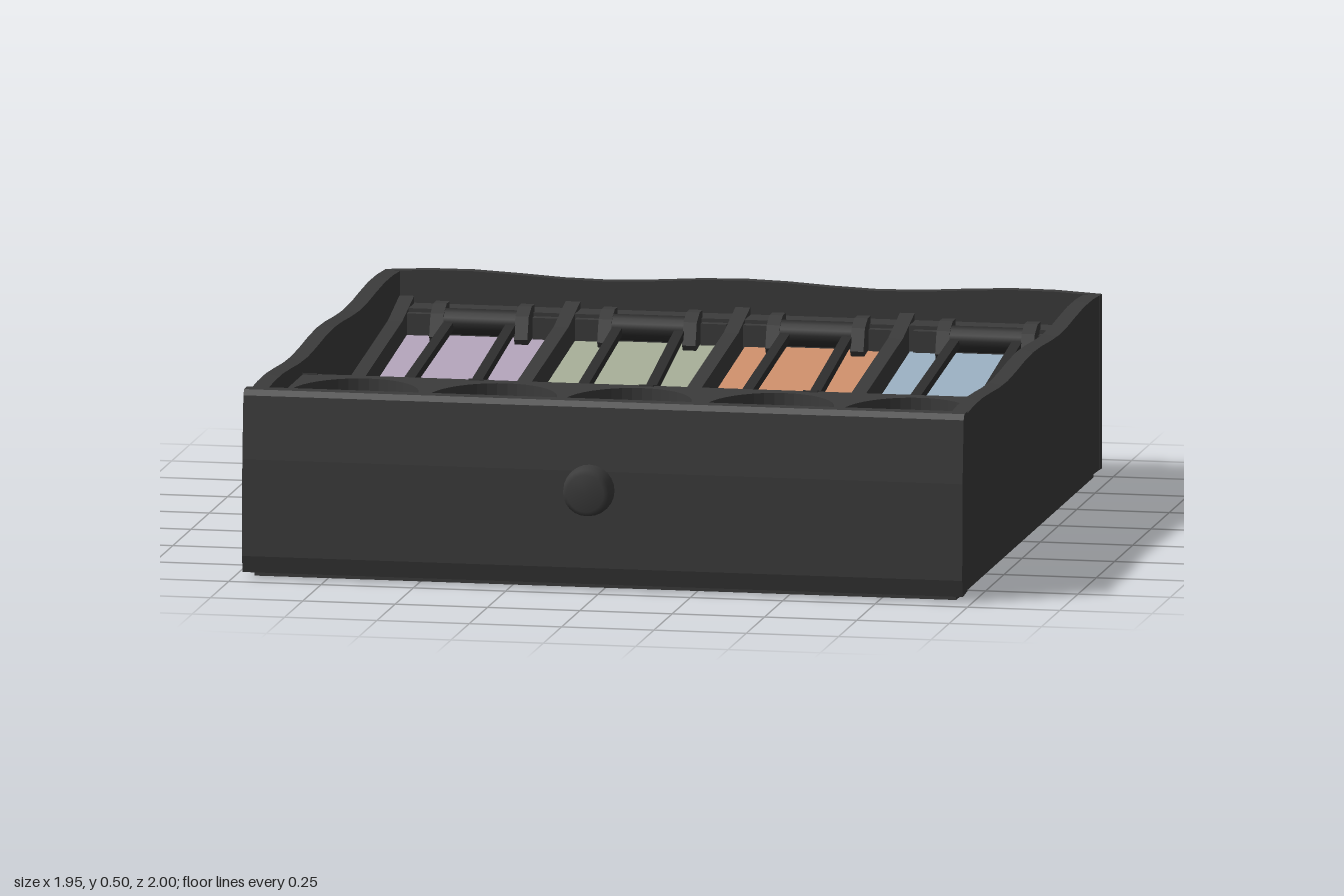
import * as THREE from 'three';

const mat = (name, color) => new THREE.MeshStandardMaterial({ name, color });

export function createModel() {
  const root = new THREE.Group();
  root.name = 'cashDrawer';
  const black = mat('charcoal plastic', 0x3b3b3b);
  const dark = mat('dark metal', 0x2e2e2e);
  const gold = mat('gold coin', 0xb08f55);
  const notes = [
    mat('lilac paper', 0xb3a4bb), mat('sage paper', 0xa6ae97),
    mat('orange paper', 0xcf906c), mat('blue paper', 0x9bb0c2),
  ];

  const add = (name, geo, material, x = 0, y = 0, z = 0, parent = root) => {
    const m = new THREE.Mesh(geo, material);
    m.name = name;
    m.position.set(x, y, z);
    parent.add(m);
    return m;
  };
  const box = (name, x0, x1, y0, y1, z0, z1, material = black) =>
    add(name, new THREE.BoxGeometry(x1 - x0, y1 - y0, z1 - z0), material,
      (x0 + x1) / 2, (y0 + y1) / 2, (z0 + z1) / 2);

  // Side profile given as [z, y] points, extruded along x
  const profileX = (name, pts, x0, x1, material) => {
    const shape = new THREE.Shape(pts.map(([z, y]) => new THREE.Vector2(z, y)));
    const geo = new THREE.ExtrudeGeometry(shape, { depth: x1 - x0, bevelEnabled: false });
    geo.translate(0, 0, -(x1 - x0) / 2).rotateY(-Math.PI / 2);
    return add(name, geo, material, (x0 + x1) / 2);
  };

  // Slightly uneven wall running along z or x
  const wall = (name, length, thick, alongZ, x, z) => {
    const geo = new THREE.BoxGeometry(length, 0.47, thick, 16, 1, 1);
    const p = geo.attributes.position;
    for (let i = 0; i < p.count; i++) {
      const u = p.getX(i) / length;
      const w = Math.cos(u * Math.PI * 5) * 0.008 * (p.getY(i) > 0 ? 1 : 0.6);
      p.setY(i, p.getY(i) + w);
    }
    if (alongZ) geo.rotateY(Math.PI / 2);
    geo.computeVertexNormals();
    add(name, geo, black, x, 0.258, z);
  };

  // Outer case
  box('base', -0.95, 0.95, 0, 0.03, -0.98, 0.9);
  wall('leftWall', 1.87, 0.045, true, 0.947, -0.055);
  wall('rightWall', 1.87, 0.045, true, -0.947, -0.055);
  wall('backWall', 1.94, 0.03, false, 0, -0.983);
  profileX('frontPanel', [[0.875, 0.02], [0.935, 0.015], [0.945, 0.06], [0.94, 0.32],
    [0.925, 0.49], [0.915, 0.505], [0.875, 0.505]], -0.975, 0.975, black);

  // Lock knob
  const knobPts = [[0, 0.065], [0.05, 0.065], [0.062, 0.055], [0.068, 0.02], [0.068, -0.02]]
    .reverse().map(([r, y]) => new THREE.Vector2(r, y));
  add('lockKnob', new THREE.LatheGeometry(knobPts, 24).rotateX(Math.PI / 2), black, -0.035, 0.27, 0.935);

  // Sloping floor of the note bays
  const slope = [[-0.87, 0.335], [0.09, 0.215], [0.28, 0.1]];
  profileX('noteBayFloor', [[-0.97, 0.02], [0.38, 0.02], [0.38, 0.13], [0.34, 0.1],
    [0.28, 0.095], [0.09, 0.21], [-0.87, 0.33], [-0.97, 0.33]], -0.93, 0.93, black);

  // Dividers rise from the floor slope up to the coin tray
  for (const x of [-0.905, -0.455, 0.005, 0.45, 0.905])
    profileX('bayDivider', [[-0.96, 0.05], [0.37, 0.05], [0.37, 0.455], [0.29, 0.44], [0.2, 0.34],
      [0.05, 0.29], [-0.8, 0.39], [-0.96, 0.43]], x - 0.02, x + 0.02, black);

  // Notes, clips and clip mounts
  box('clipRail', -0.93, 0.93, 0.3, 0.41, -0.97, -0.885);
  const bays = [[-0.885, -0.48, -0.68, 0], [-0.43, -0.02, -0.225, 0.03],
    [0.03, 0.425, 0.23, 0.01], [0.475, 0.885, 0.69, 0]];
  const pitch = Math.atan2(0.12, 0.96);

  // Flat wire loop, narrowing toward the mount
  const loop = (C, w, l, r) => {
    const s = new C();
    s.moveTo(-w * 0.9, 0);
    s.lineTo(-w, -l + r);
    s.quadraticCurveTo(-w, -l, -w + r, -l);
    s.lineTo(w - r, -l);
    s.quadraticCurveTo(w, -l, w, -l + r);
    s.lineTo(w * 0.9, 0);
    s.closePath();
    return s;
  };
  const clipShape = loop(THREE.Shape, 0.108, 0.74, 0.05);
  clipShape.holes.push(loop(THREE.Path, 0.078, 0.708, 0.03));
  const clipGeo = new THREE.ExtrudeGeometry(clipShape, { depth: 0.022, bevelEnabled: false, curveSegments: 6 });
  clipGeo.rotateX(-Math.PI / 2);

  bays.forEach(([x0, x1, cx, yaw], i) => {
    const top = slope.map(([z, y]) => [z, y + 0.008]);
    profileX('noteStack', [...slope, ...top.reverse()], x0, x1, notes[i]);

    const clip = add('noteClip', clipGeo, dark, cx, 0.372, -0.865);
    clip.rotation.set(pitch, yaw, 0, 'YXZ');
    add('clipRoller', new THREE.CylinderGeometry(0.035, 0.035, 0.2, 14).rotateZ(Math.PI / 2),
      dark, cx, 0.385, -0.85);
    for (const s of [-1, 1]) {
      const ex = cx + s * 0.115;
      profileX('clipEar', [[-0.9, 0.32], [-0.82, 0.32], [-0.8, 0.35], [-0.82, 0.41], [-0.86, 0.43],
        [-0.9, 0.43]], ex - 0.018, ex + 0.018, black);
      const bx = cx + s * 0.17;
      box('railBlock', bx - 0.035, bx + 0.035, 0.33, 0.4, -0.9, -0.86);
    }
  });

  // Coin tray with oval wells
  const cups = [-0.74, -0.365, 0, 0.385, 0.755];
  const RX = 0.172, RZ = 0.215, CZ = 0.61;
  const tray = new THREE.Shape();
  tray.moveTo(-0.93, -0.88);
  tray.lineTo(0.93, -0.88);
  tray.lineTo(0.93, -0.355);
  tray.lineTo(-0.93, -0.355);
  tray.closePath();
  for (const x of cups) {
    const hole = new THREE.Path();
    hole.absellipse(x, -CZ, RX, RZ, 0, Math.PI * 2, true);
    tray.holes.push(hole);
  }
  const trayGeo = new THREE.ExtrudeGeometry(tray, { depth: 0.4, bevelEnabled: false, curveSegments: 20 });
  add('coinTray', trayGeo.rotateX(-Math.PI / 2), black, 0, 0.05, 0);

  // Loose coins: a lower ring, then tilted coins on top
  let seed = 7;
  const rnd = () => (seed = (seed * 16807) % 2147483647) / 2147483647;
  const coinGeo = new THREE.CylinderGeometry(0.07, 0.07, 0.022, 20);
  const spots = [[-0.09, -0.08], [0.0, -0.135], [0.09, -0.06], [0.09, 0.06], [-0.05, 0.125],
    [-0.09, 0.03], [0.045, 0.13], [0, 0]];
  cups.forEach((x, c) => {
    const isGold = c === 2 || c === 3;
    const heap = new THREE.CylinderGeometry(1, 1, 0.03, 28).scale(RX, 1, RZ);
    add('wellFloor', heap, black, x, 0.28, CZ);
    for (let layer = 0; layer < 2; layer++) {
      spots.forEach(([dx, dz], k) => {
        const oddCoin = c === 2 && layer === 1 && k === 1;
        const coin = add('coin', coinGeo, isGold && !oddCoin ? gold : black,
          x + dx * (layer ? 1 : -1) + (rnd() - 0.5) * 0.02,
          0.308 + layer * 0.032 + rnd() * 0.02,
          CZ + dz * (layer ? 1 : -1) + (rnd() - 0.5) * 0.02);
        coin.rotation.set((rnd() - 0.5) * 0.4, 0, (rnd() - 0.5) * 0.4);
      });
    }
  });

  return root;
}
